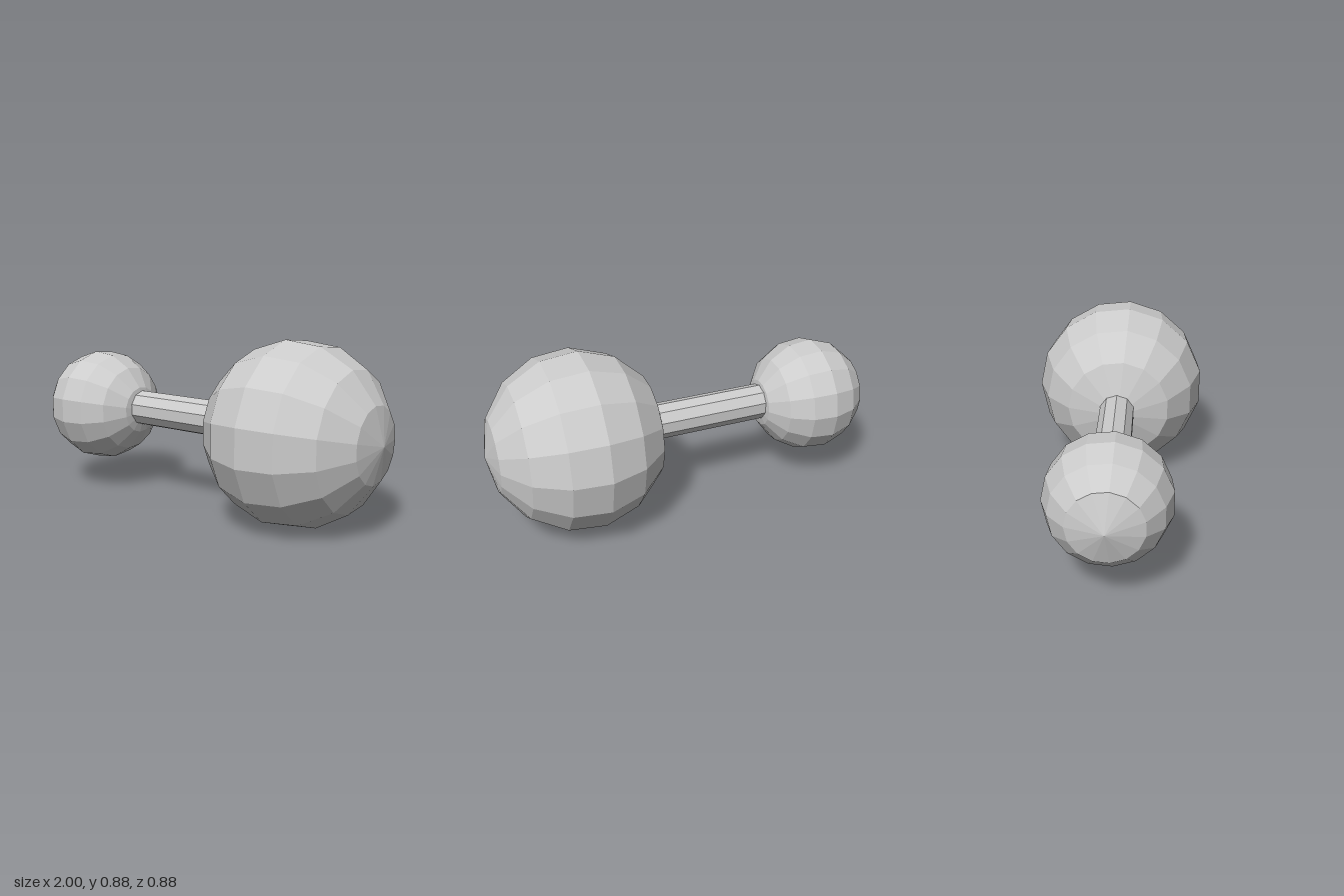
import * as THREE from 'three';

const SIDES = 15;
const AXIS_Y = 0.444, AXIS_Z = 0.005;

export function createModel() {
  const group = new THREE.Group();
  const material = new THREE.MeshStandardMaterial({ color: 0xcccccc, flatShading: true });

  // Faceted ball turned about x: rings every 24 degrees from the +x pole,
  // closed by a wider cone at the -x pole
  function addBall(name, radius, x) {
    const degrees = [180, 144, 120, 96, 72, 48, 24, 0];
    const profile = degrees.map((d) => {
      const a = THREE.MathUtils.degToRad(d);
      return new THREE.Vector2(Math.max(0, radius * Math.sin(a)), radius * Math.cos(a));
    });
    profile[0].x = 0;
    const geometry = new THREE.LatheGeometry(profile, SIDES, Math.PI);
    geometry.rotateZ(-Math.PI / 2);
    const ball = new THREE.Mesh(geometry, material);
    ball.name = name;
    ball.position.set(x, AXIS_Y, AXIS_Z);
    group.add(ball);
  }

  addBall('largeBall', 0.4465, 0.5535);
  addBall('smallBall', 0.2957, -0.7043);

  // Ten-sided bar, its ends sunk into both balls
  const start = -0.6, end = 0.4;
  const barGeometry = new THREE.CylinderGeometry(0.091, 0.091, end - start, 10, 1, false, Math.PI / 2);
  barGeometry.rotateZ(-Math.PI / 2);
  const bar = new THREE.Mesh(barGeometry, material);
  bar.name = 'bar';
  bar.position.set((start + end) / 2, 0.455, 0);
  group.add(bar);

  return group;
}
